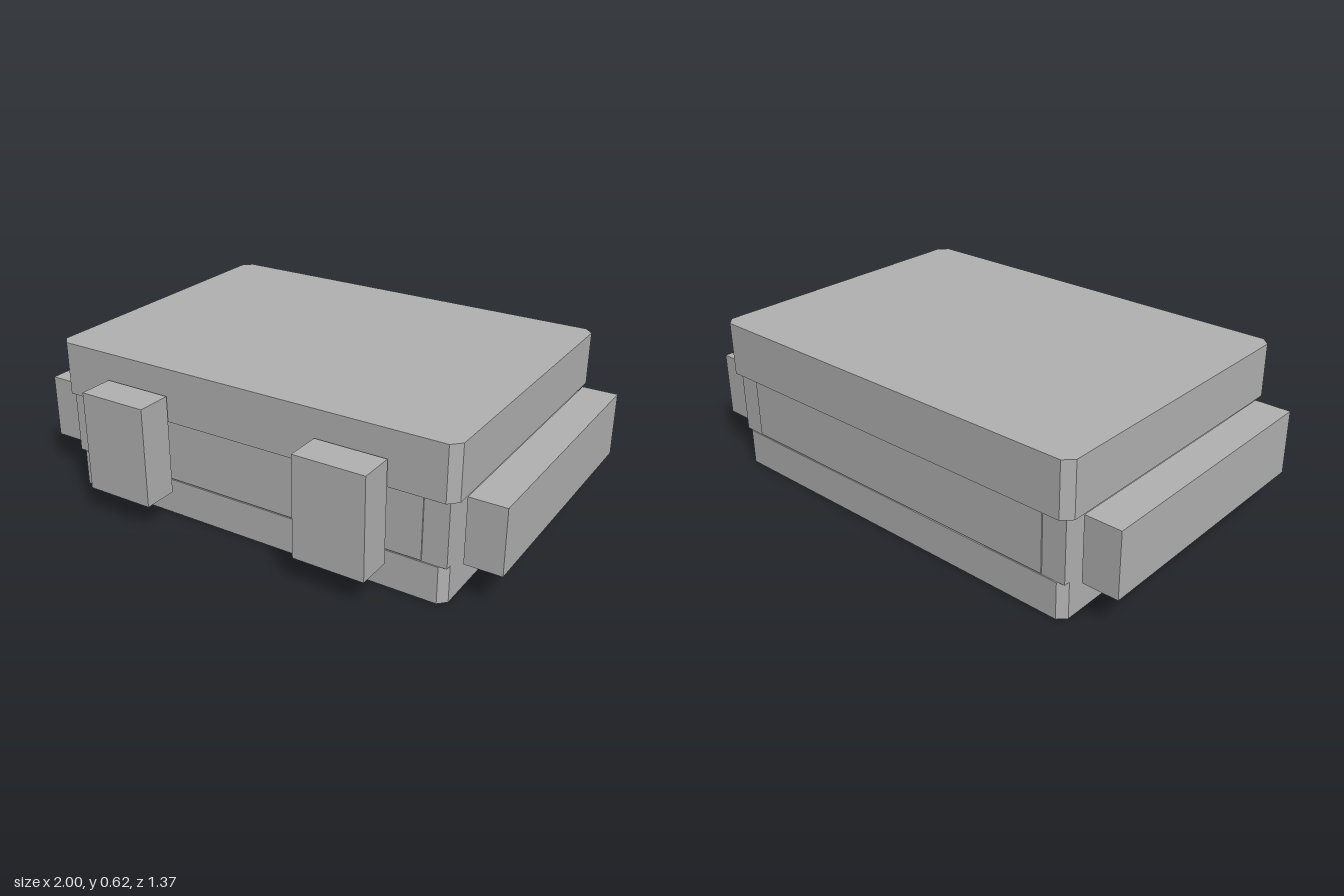
import * as THREE from 'three';

export function createModel() {
  const model = new THREE.Group();
  model.name = 'lowCase';
  const grey = new THREE.MeshStandardMaterial({ color: 0xb2b2b2 });
  grey.name = 'plainGrey';

  function add(name, geometry) {
    const mesh = new THREE.Mesh(geometry, grey);
    mesh.name = name;
    model.add(mesh);
  }

  // Box given by its lower and upper limits on each axis
  function box(name, [x0, x1], [y0, y1], [z0, z1]) {
    const g = new THREE.BoxGeometry(x1 - x0, y1 - y0, z1 - z0);
    g.translate((x0 + x1) / 2, (y0 + y1) / 2, (z0 + z1) / 2);
    add(name, g);
  }

  // Horizontal slab with cut vertical corners
  function slab(name, x, [y0, y1], [z0, z1], cut) {
    const a = -z1, b = -z0;
    const outline = [
      [-x + cut, a], [x - cut, a], [x, a + cut], [x, b - cut],
      [x - cut, b], [-x + cut, b], [-x, b - cut], [-x, a + cut],
    ].map(([u, v]) => new THREE.Vector2(u, v));
    const g = new THREE.ExtrudeGeometry(new THREE.Shape(outline), { depth: y1 - y0, bevelEnabled: false });
    g.rotateX(-Math.PI / 2);
    g.translate(0, y0, 0);
    add(name, g);
  }

  // Stacked body
  slab('base', 0.825, [0, 0.145], [-0.66, 0.52], 0.03);
  box('middleBody', [-0.825, 0.825], [0.145, 0.403], [-0.655, 0.515]);
  slab('lid', 0.855, [0.403, 0.617], [-0.687, 0.54], 0.035);

  // Front and back panels
  box('frontPanel', [-0.73, 0.73], [0.15, 0.4], [0.512, 0.52]);
  box('backPanel', [-0.73, 0.73], [0.15, 0.4], [-0.66, -0.652]);

  // Mirrored side bars and front latches
  for (const [side, s] of [['left', 1], ['right', -1]]) {
    const span = (a, b) => (s > 0 ? [a, b] : [-b, -a]);
    box(side + 'SideBar', span(0.857, 1), [0.145, 0.403], [-0.607, 0.457]);
    box(side + 'Latch', span(0.323, 0.607), [0.11, 0.51], [0.547, 0.687]);
  }
  return model;
}
